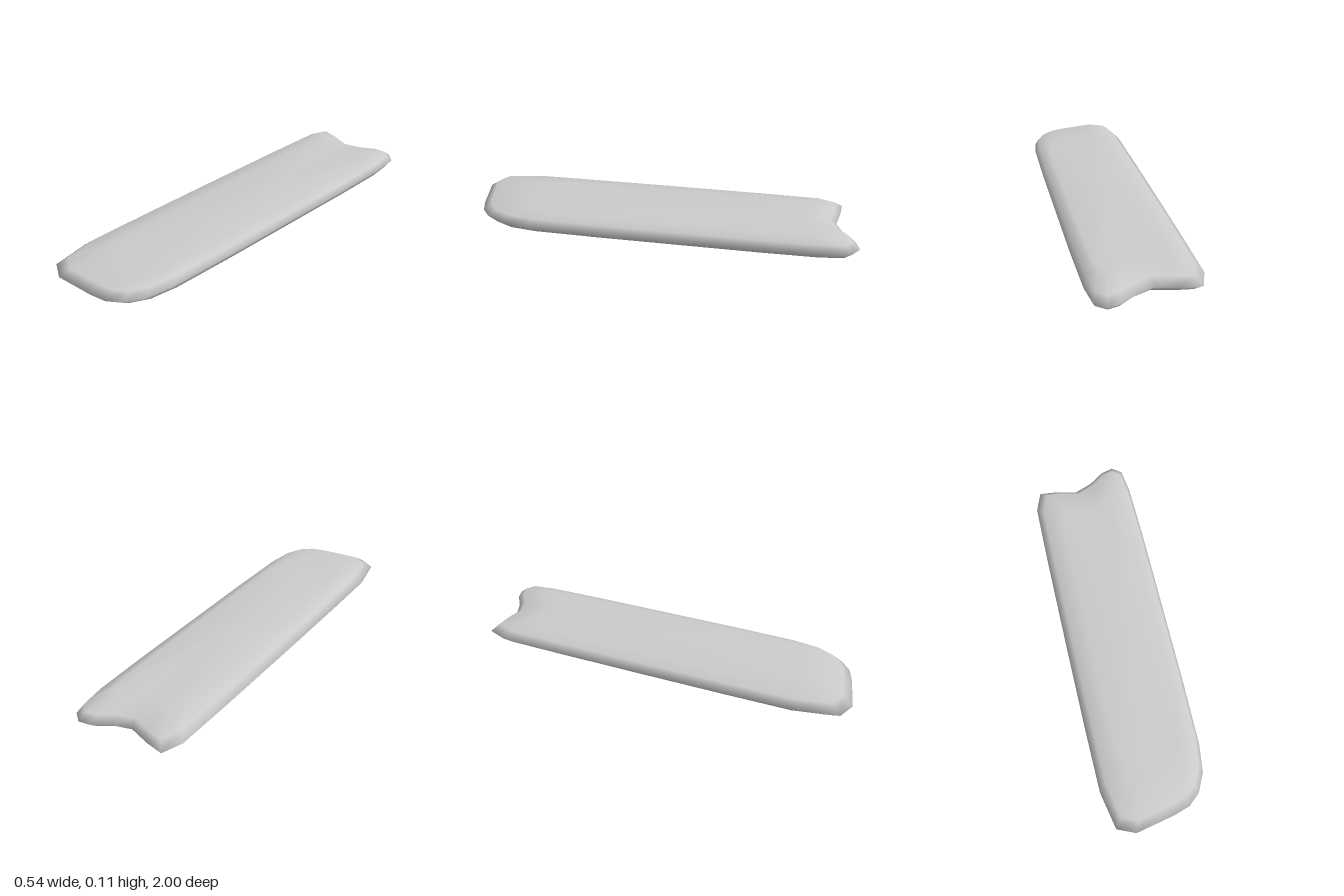
import * as THREE from 'three';

// Outline at mid height as (x, z), running along the front, up the left side,
// across the notched back and down the right side
const OUTLINE = [
  [-0.268, 0.77], [-0.23, 0.955], [-0.14, 0.995], [-0.04, 0.975], [0.06, 0.955], [0.14, 0.93],
  [0.20, 0.88], [0.245, 0.79], [0.265, 0.65], [0.27, 0.3], [0.27, -0.15], [0.27, -0.55],
  [0.265, -0.84], [0.248, -0.965], [0.20, -1.0], [0.14, -0.985], [0.06, -0.93], [-0.03, -0.895],
  [-0.14, -0.92], [-0.23, -0.93], [-0.268, -0.83], [-0.272, -0.5], [-0.273, 0], [-0.272, 0.45],
];

// Each level: height and the extents the outline is squeezed into
const EDGE = { y: 0.056, x0: -0.273, x1: 0.27, z0: -1, z1: 0.995 };
const BEVEL = { y: 0.09, x0: -0.237, x1: 0.253, z0: -0.96, z1: 0.945 };
const FACE = { y: 0.107, x0: -0.15, x1: 0.203, z0: -0.80, z1: 0.73 };
const mirror = (l) => ({ ...l, y: 0.111 - l.y });

function createSlab() {
  const levels = [mirror(FACE), mirror(BEVEL), EDGE, BEVEL, FACE];
  const n = OUTLINE.length;
  const pos = [];
  const idx = [];
  const map = THREE.MathUtils.mapLinear;
  for (const l of levels) {
    for (const [x, z] of OUTLINE) {
      pos.push(map(x, EDGE.x0, EDGE.x1, l.x0, l.x1), l.y, map(z, EDGE.z0, EDGE.z1, l.z0, l.z1));
    }
  }
  // Centres of the flat bottom and top
  const bottom = pos.length / 3;
  const top = bottom + 1;
  pos.push(0.03, 0, -0.03, 0.03, 0.11, -0.03);
  const last = (levels.length - 1) * n;
  for (let i = 0; i < n; i++) {
    const j = (i + 1) % n;
    for (let k = 0; k < last; k += n) {
      idx.push(k + i, k + j, k + n + j, k + i, k + n + j, k + n + i);
    }
    idx.push(bottom, j, i, top, last + i, last + j);
  }
  const geometry = new THREE.BufferGeometry();
  geometry.setAttribute('position', new THREE.Float32BufferAttribute(pos, 3));
  geometry.setIndex(idx);
  geometry.computeVertexNormals();
  return geometry;
}

export function createModel() {
  const group = new THREE.Group();
  group.name = 'plank';
  const slab = new THREE.Mesh(createSlab(), new THREE.MeshStandardMaterial({ color: 0xcccccc }));
  slab.name = 'roundedSlab';
  group.add(slab);
  return group;
}
